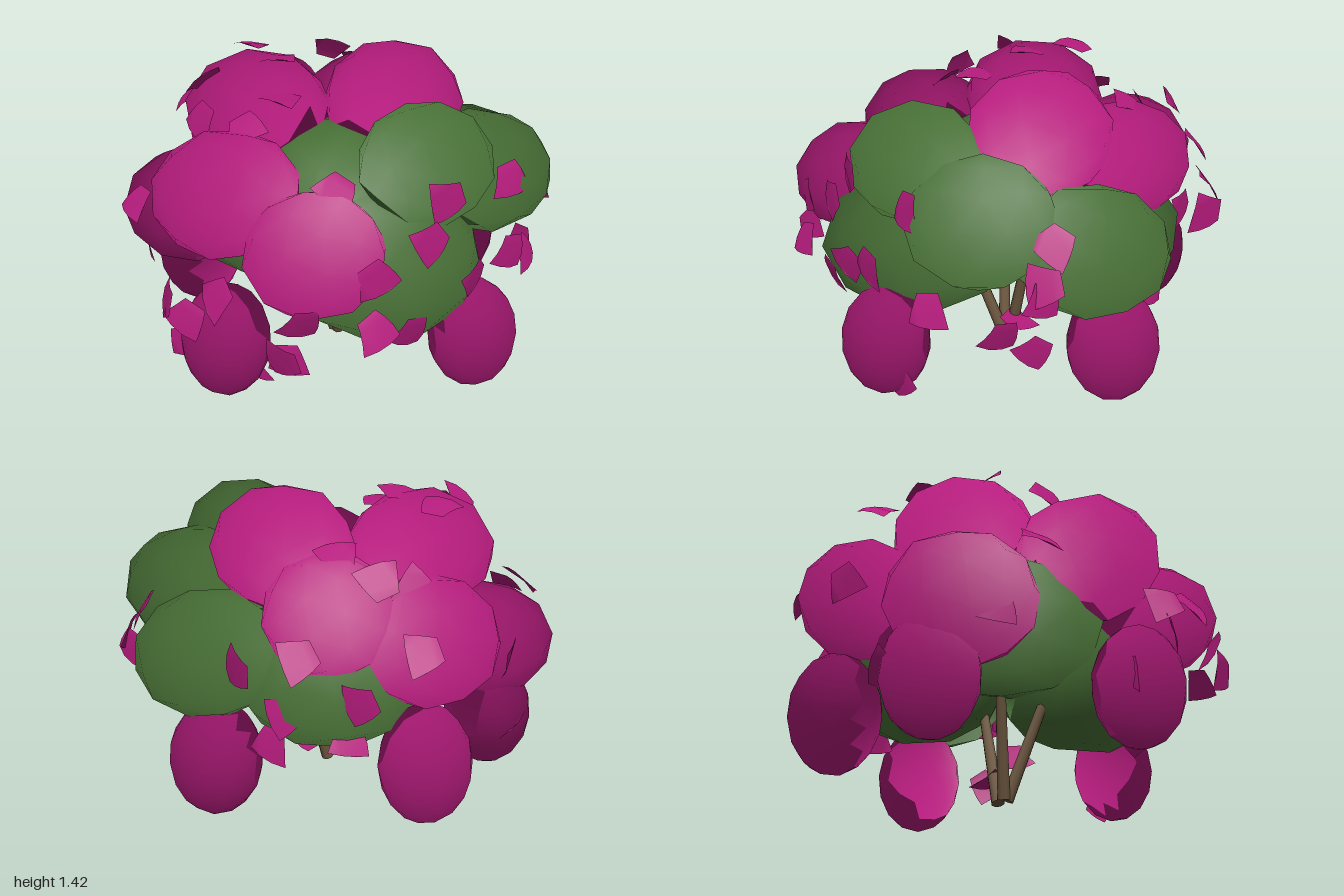
import * as THREE from 'three';

const heart = new THREE.Vector3(0, 0.55, 0); // middle of the bush
const Y = new THREE.Vector3(0, 1, 0);
const material = (name, color, side = THREE.FrontSide) => {
  const m = new THREE.MeshStandardMaterial({ color, side });
  m.name = name;
  return m;
};

// Faceted ellipsoid whose shading normals spread mostly from the heart of the bush,
// so the foliage reads as one soft mass
function puff([x, y, z, rx, ry, detail = 1]) {
  const geo = new THREE.IcosahedronGeometry(detail === 1 ? 1.03 : 1.01, detail);
  geo.rotateY(x * 7).rotateX(z * 5);
  const p = geo.attributes.position, n = geo.attributes.normal;
  const own = new THREE.Vector3(), v = new THREE.Vector3();
  for (let i = 0; i < p.count; i++) {
    own.fromBufferAttribute(p, i);
    v.set(x + own.x * rx, y + own.y * ry, z + own.z * rx);
    p.setXYZ(i, v.x, v.y, v.z);
    v.sub(heart).normalize().addScaledVector(own, 0.07).normalize();
    n.setXYZ(i, v.x, v.y, v.z);
  }
  return geo;
}

// x, y, z, radius across, radius up
const leafPuffs = [
  [0.14, 1.06, 0.5, 0.28, 0.25],
  [0.5, 0.91, 0.39, 0.31, 0.26],
  [0.68, 0.76, -0.03, 0.32, 0.26],
  [-0.03, 0.63, 0.43, 0.43, 0.31],
  [0.25, 0.63, -0.3, 0.4, 0.28],
  [-0.28, 0.7, -0.12, 0.43, 0.28],
  [-0.05, 0.82, 0.05, 0.4, 0.28],
];
const upperBlooms = [
  [-0.6, 0.93, 0.13, 0.31, 0.26],
  [-0.41, 0.81, 0.57, 0.285, 0.245],
  [-0.57, 0.63, -0.43, 0.31, 0.26],
  [-0.27, 1.1, -0.29, 0.325, 0.26],
  [0.01, 0.85, -0.65, 0.3, 0.27],
  [0.28, 1.14, -0.01, 0.31, 0.27],
  [0.34, 0.97, -0.42, 0.28, 0.25],
];
// the last number is a finer facet level
const hangingBlooms = [
  [0.26, 0.33, 0.73, 0.19, 0.25, 2],
  [0.73, 0.31, -0.12, 0.2, 0.26, 2],
  [0.08, 0.33, -0.74, 0.2, 0.27, 2],
  [-0.51, 0.31, -0.53, 0.2, 0.26, 2],
  [-0.7, 0.33, 0.29, 0.19, 0.26, 2],
];

// Loose petals: positions on the blooms and leaves
const petals = [
  [0.06, 1.04, 0.79], [-0.04, 0.9, 0.84], [0.17, 0.69, 0.86], [-0.12, 0.5, 0.84],
  [0.57, 0.61, 0.68], [0.43, 1.0, 0.7], [0.89, 0.72, 0.32], [-0.52, 0.28, 0.5],
  [-0.3, 0.81, 0.87], [-0.58, 0.64, 0.78], [-0.28, 1.27, 0.0], [-0.82, 0.7, 0.5],
  [-0.9, 0.53, 0.35], [0.74, 0.5, 0.43], [0.4, 0.2, 0.75], [0.84, 0.93, 0.26],
  [-0.52, 1.29, -0.3], [-0.2, 1.36, -0.48], [0.64, 0.45, -0.38], [0.62, 0.62, -0.46],
  [0.3, 1.2, -0.69], [-0.64, 1.2, -0.07], [-0.5, 1.19, 0.08], [-0.2, 1.37, -0.22],
  [0.1, 1.12, -0.67], [0.31, 1.24, -0.44], [-0.3, 1.06, 0.54],
];
// Petals drifting around the rim
const outerPetals = [
  [-0.31, 0.6, 0.9], [0.89, 0.8, 0.33], [0.85, 0.9, -0.48], [0.66, 0.95, -0.63],
  [-0.9, 0.8, -0.25], [-0.45, 1.05, -0.76], [0.25, 0.95, -0.88], [-0.95, 0.6, 0.27],
  [-0.66, 0.5, 0.76], [-0.82, 0.5, -0.4], [-0.3, 0.75, -0.85], [0.42, 0.7, -0.7],
  [0.4, 0.5, -0.62], [-0.6, 0.17, 0.32], [-0.86, 0.3, 0.2], [0.35, 0.75, 0.84],
  [0.6, 0.28, 0.2], [-0.5, 0.3, -0.72], [0.12, 0.13, 0.02],
];

let seed = 7;
const rand = () => (seed = (seed * 16807) % 2147483647) / 2147483647;

// Gently cupped petal with sharp corners
function petal([x, y, z]) {
  const s = new THREE.Shape();
  s.moveTo(-0.1, -0.01);
  s.quadraticCurveTo(-0.04, 0.05, -0.01, 0.085);
  s.lineTo(0.08, 0.05);
  s.quadraticCurveTo(0.085, -0.02, 0.06, -0.1);
  s.quadraticCurveTo(-0.03, -0.07, -0.1, -0.01);
  const geo = new THREE.ShapeGeometry(s, 3);
  const p = geo.attributes.position;
  for (let i = 0; i < p.count; i++) p.setZ(i, -2 * (p.getX(i) ** 2 + p.getY(i) ** 2));
  geo.computeVertexNormals();
  const out = new THREE.Vector3(x, y, z).sub(heart).normalize();
  geo.rotateZ((rand() - 0.5) * 2).rotateX((rand() - 0.5) * 1.1).rotateY((rand() - 0.5) * 1.1);
  geo.applyQuaternion(new THREE.Quaternion().setFromUnitVectors(new THREE.Vector3(0, 0, 1), out));
  return geo.translate(x, y, z);
}

// Tapered stem between two points
function stem([a, b]) {
  const from = new THREE.Vector3(...a), to = new THREE.Vector3(...b);
  const dir = to.clone().sub(from);
  const geo = new THREE.CylinderGeometry(0.022, 0.03, dir.length(), 8);
  geo.applyQuaternion(new THREE.Quaternion().setFromUnitVectors(Y, dir.normalize()));
  const mid = from.add(to).multiplyScalar(0.5);
  return geo.translate(mid.x, mid.y, mid.z);
}

export function createModel() {
  const green = material('leaf green', 0x487036, THREE.DoubleSide);
  const pink = material('blossom magenta', 0xb51c7d, THREE.DoubleSide);
  const bark = material('bark brown', 0x6e5840);
  const model = new THREE.Group();
  model.name = 'floweringBush';

  const addAll = (groupName, meshName, list, build, mat) => {
    const group = new THREE.Group();
    group.name = groupName;
    list.forEach((item) => {
      const mesh = new THREE.Mesh(build(item), mat);
      mesh.name = meshName;
      group.add(mesh);
    });
    model.add(group);
  };

  addAll('foliage', 'leafPuff', leafPuffs, puff, green);
  addAll('upperBlooms', 'bloom', upperBlooms, puff, pink);
  addAll('hangingBlooms', 'hangingBloom', hangingBlooms, puff, pink);
  addAll('loosePetals', 'petal', [...petals, ...outerPetals], petal, pink);

  // Three stems fanning out from the ground
  const stems = [
    [[-0.03, 0.01, 0], [-0.17, 0.58, -0.08]],
    [[0.03, 0.01, 0], [0.19, 0.55, -0.01]],
    [[-0.02, 0.01, 0.02], [-0.16, 0.55, 0.18]],
  ];
  addAll('trunk', 'stem', stems, stem, bark);
  return model;
}
